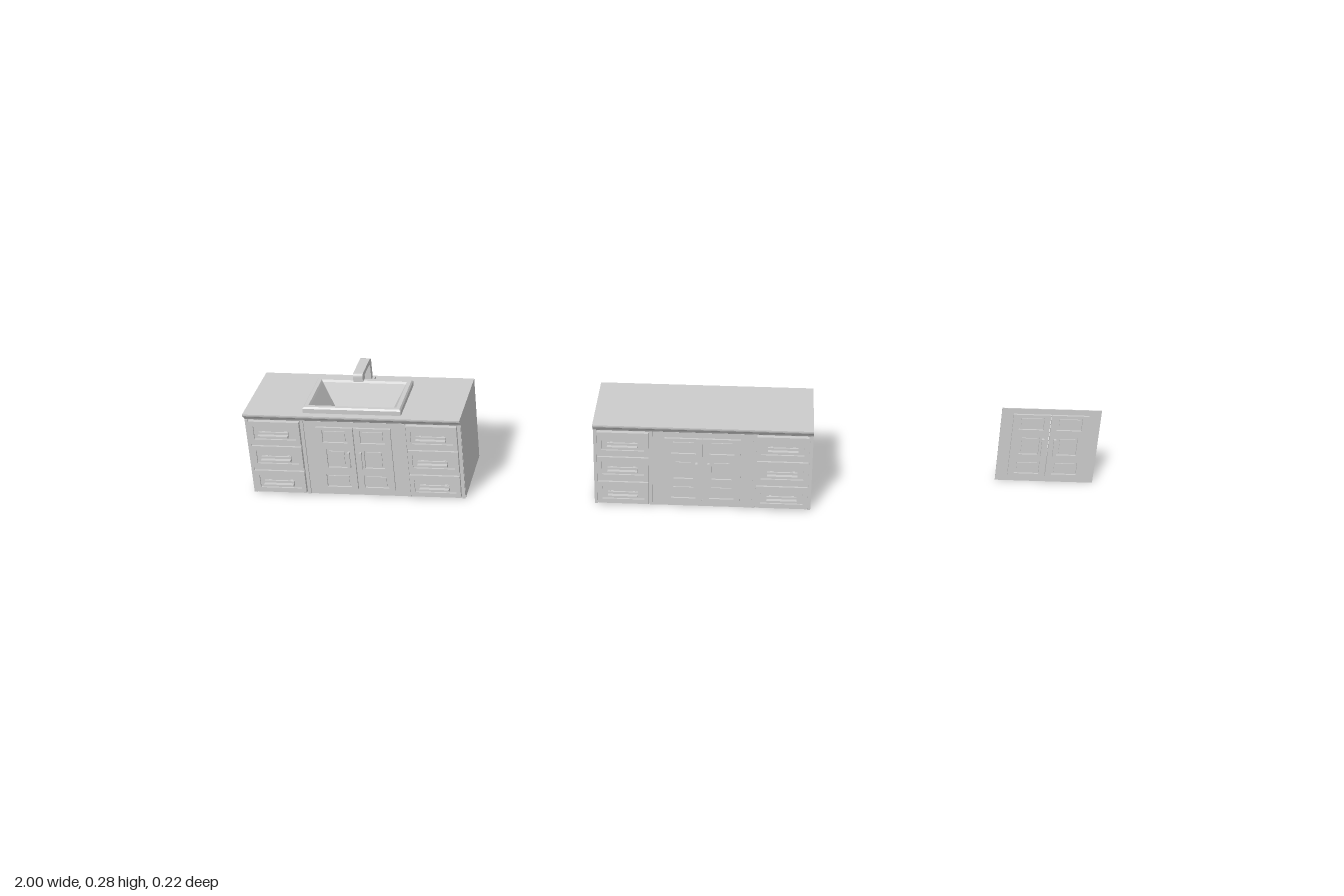
import * as THREE from 'three';

const mat = new THREE.MeshStandardMaterial({ color: 0xcccccc, flatShading: true, side: THREE.DoubleSide });

function add(parent, name, geo, x = 0, y = 0, z = 0) {
  const m = new THREE.Mesh(geo, mat);
  m.name = name;
  m.position.set(x, y, z);
  parent.add(m);
  return m;
}

// Box whose back face sits at z
function block(parent, name, w, h, d, x, y, z) {
  return add(parent, name, new THREE.BoxGeometry(w, h, d), x, y, z + d / 2);
}

function rect(Type, w, h, x = 0, y = 0) {
  return new Type([[-1, -1], [1, -1], [1, 1], [-1, 1]]
    .map(([a, b]) => new THREE.Vector2(x + a * w / 2, y + b * h / 2)));
}

// Rectangular plate with rectangular openings [w, h, x, y]
function plate(w, h, d, holes) {
  const s = rect(THREE.Shape, w, h);
  s.holes = holes.map((o) => rect(THREE.Path, ...o));
  return new THREE.ExtrudeGeometry(s, { depth: d, bevelEnabled: false });
}

// Side profile in (z, y), swept across x
function sweepX(shape, w) {
  return new THREE.ExtrudeGeometry(shape, { depth: w, bevelEnabled: false, curveSegments: 6 })
    .rotateY(-Math.PI / 2).translate(w / 2, 0, 0);
}

// Stacked rectangles [halfX, halfZ, y] joined by flat walls
function rectLoft(rings) {
  const pos = [], idx = [];
  for (const [a, b, y] of rings) pos.push(-a, y, b, a, y, b, a, y, -b, -a, y, -b);
  for (let r = 0; r < rings.length - 1; r++) {
    for (let i = 0; i < 4; i++) {
      const p = r * 4 + i, q = r * 4 + (i + 1) % 4;
      idx.push(p, q, q + 4, p, q + 4, p + 4);
    }
  }
  const g = new THREE.BufferGeometry();
  g.setAttribute('position', new THREE.Float32BufferAttribute(pos, 3));
  g.setIndex(idx);
  const flat = g.toNonIndexed();
  flat.computeVertexNormals();
  return flat;
}

// Face frame with a pair of panelled doors; its back lies on z = 0
function doorPair() {
  const g = new THREE.Group();
  g.name = 'doorPair';
  add(g, 'doorFrame', plate(0.232, 0.197, 0.002, [[0.176, 0.164, 0, 0.001]]), 0, 0.0985, 0);
  for (const s of [-1, 1]) {
    const x = s * 0.0445;
    const holes = [[0.058, 0.034, 0, 0.06], [0.046, 0.048, 0, 0], [0.058, 0.034, 0, -0.06]];
    add(g, 'doorRails', plate(0.087, 0.166, 0.006, holes), x, 0.1, 0.001);
    block(g, 'doorPanel', 0.08, 0.16, 0.0015, x, 0.1, 0.001);
    block(g, 'raisedSquare', 0.036, 0.038, 0.003, x, 0.1, 0.002);
    for (const t of [-1, 1]) {
      block(g, 'raisedField', 0.048, 0.024, 0.003, x, 0.1 + t * 0.06, 0.002);
      block(g, 'handlePost', 0.005, 0.005, 0.007, s * 0.014, 0.1 + t * 0.018, 0.007);
    }
    block(g, 'doorHandle', 0.006, 0.044, 0.004, s * 0.014, 0.1, 0.013);
  }
  return g;
}

// Drawer front with recessed field and lipped pull
function drawer(h) {
  const g = new THREE.Group();
  g.name = 'drawer';
  add(g, 'drawerRim', plate(0.119, h, 0.01, [[0.099, 0.034, 0, 0]]));
  block(g, 'drawerField', 0.1, 0.035, 0.006, 0, 0, 0);
  for (const s of [-1, 1]) block(g, 'pullPost', 0.006, 0.008, 0.01, s * 0.026, 0, 0.006);
  block(g, 'pullBar', 0.07, 0.015, 0.004, 0, 0, 0.015);
  block(g, 'pullLip', 0.07, 0.004, 0.009, 0, 0, 0.019);
  return g;
}

const W = 0.508, BACK = -0.111, FRONT = 0.085, TOP = 0.216;
const DEPTH = FRONT - BACK, MID = (FRONT + BACK) / 2;

function cabinet(withSink) {
  const g = new THREE.Group();
  g.name = withSink ? 'sinkCabinet' : 'cabinet';

  // Carcass, with a well in the upper half when it carries a sink
  if (withSink) {
    block(g, 'lowerCarcass', W, 0.12, DEPTH, 0, 0.06, BACK);
    const upper = plate(W, DEPTH, TOP - 0.12, [[0.204, 0.126, 0, MID - 0.008]]).rotateX(-Math.PI / 2);
    add(g, 'upperCarcass', upper, 0, 0.12, MID);
  } else {
    block(g, 'carcass', W, TOP, DEPTH, 0, TOP / 2, BACK);
  }

  // Moulded counter edge
  const edge = new THREE.Shape([[FRONT, 0.196], [0.088, 0.198], [0.092, 0.204], [0.099, 0.21],
    [0.1, 0.213], [0.1, TOP], [FRONT, TOP]].map((p) => new THREE.Vector2(...p)));
  add(g, 'counterEdge', sweepX(edge, W));

  const doors = doorPair();
  doors.position.z = FRONT;
  g.add(doors);

  // Drawer stacks either side of the doors
  for (const s of [-1, 1]) {
    for (const [y, h] of [[0.165, 0.06], [0.1, 0.059], [0.034, 0.058]]) {
      const d = drawer(h);
      d.position.set(s * 0.185, y, FRONT);
      g.add(d);
    }
    for (const y of [0.0665, 0.132]) block(g, 'drawerRail', 0.119, 0.009, 0.005, s * 0.185, y, FRONT);
    for (const x of [0.12, 0.25]) block(g, 'stile', 0.007, 0.197, 0.004, s * x, 0.0985, FRONT);
  }
  return g;
}

function sink() {
  const g = new THREE.Group();
  g.name = 'sink';
  add(g, 'basin', rectLoft([[0.115, 0.076, TOP], [0.115, 0.076, 0.227], [0.112, 0.073, 0.231],
    [0.103, 0.064, 0.231], [0.1, 0.061, 0.226], [0.056, 0.03, 0.145], [0, 0, 0.143]]), 0, 0, 0.008);
  add(g, 'drain', new THREE.CylinderGeometry(0.009, 0.009, 0.003, 16), 0, 0.145, 0.008);
  return g;
}

// Square-section faucet with rounded bends
function faucet() {
  const g = new THREE.Group();
  g.name = 'faucet';
  block(g, 'faucetBase', 0.034, 0.006, 0.03, 0, 0.219, -0.099);
  const s = new THREE.Shape();
  s.moveTo(-0.092, 0.22);
  s.lineTo(-0.092, 0.264);
  s.quadraticCurveTo(-0.092, 0.277, -0.079, 0.277);
  s.lineTo(-0.008, 0.277);
  s.quadraticCurveTo(0, 0.277, 0, 0.269);
  s.lineTo(0, 0.257);
  s.lineTo(-0.021, 0.257);
  s.lineTo(-0.021, 0.266);
  s.lineTo(-0.07, 0.266);
  s.quadraticCurveTo(-0.077, 0.266, -0.077, 0.259);
  s.lineTo(-0.077, 0.22);
  add(g, 'spout', sweepX(s, 0.023));
  return g;
}

export function createModel() {
  const model = new THREE.Group();
  model.name = 'cabinetSet';

  const left = cabinet(true);
  left.add(sink(), faucet());
  left.position.x = -0.746;

  const middle = cabinet(false);
  middle.position.x = 0.069;

  // Loose door front
  const loose = doorPair();
  loose.name = 'looseDoorPair';
  loose.position.set(0.884, 0, -0.078);

  model.add(left, middle, loose);
  return model;
}
